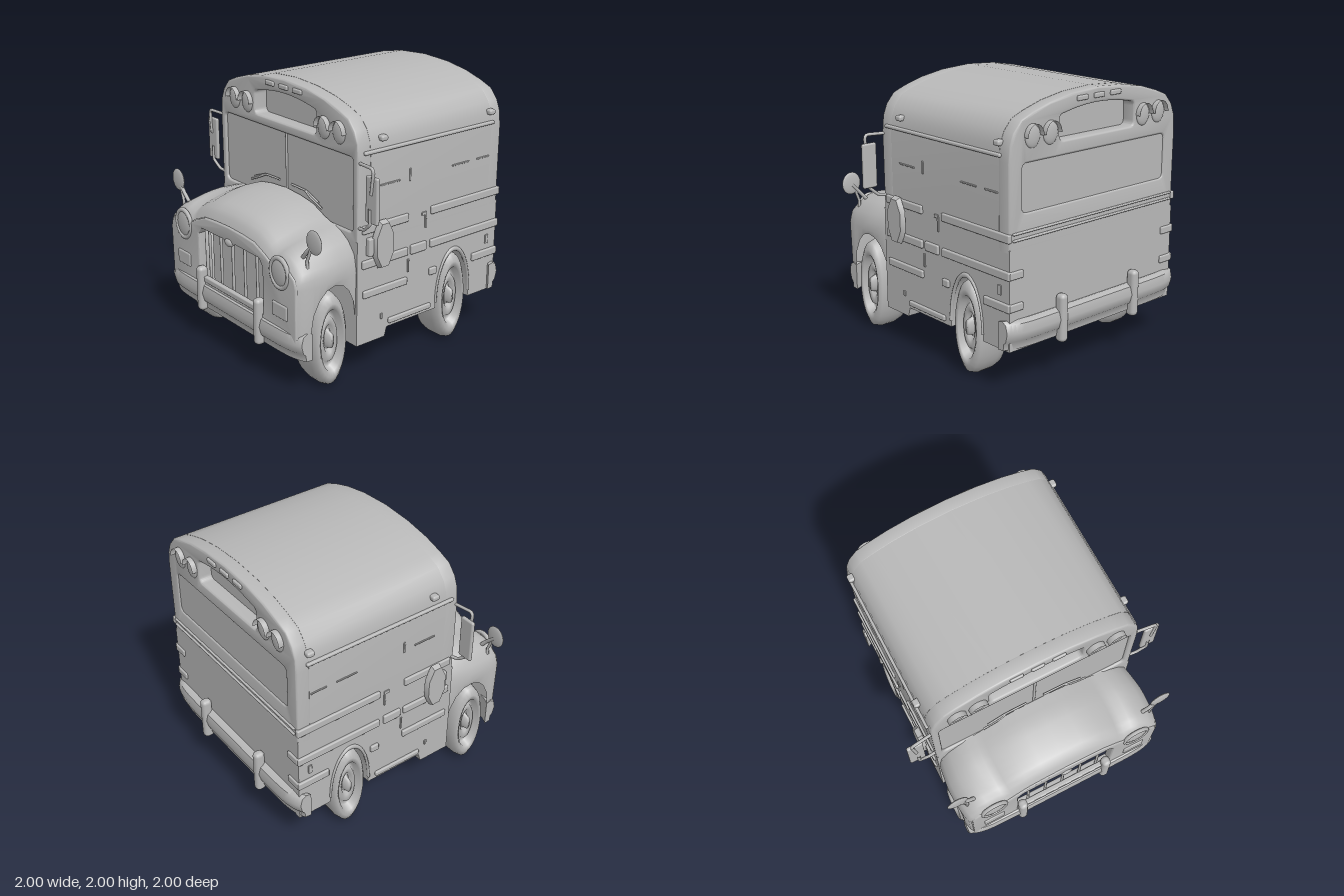
import * as THREE from 'three';
import { toCreasedNormals } from 'three/addons/utils/BufferGeometryUtils.js';
import { RoundedBoxGeometry } from 'three/addons/geometries/RoundedBoxGeometry.js';

const V = (x, y, z) => new THREE.Vector3(x, y, z);

export function createModel() {
  const bus = new THREE.Group();
  bus.name = 'shortBus';
  const grey = new THREE.MeshStandardMaterial({ color: 0xb8b8b8, side: THREE.DoubleSide });
  grey.name = 'plain grey';

  const add = (name, geo, x = 0, y = 0, z = 0) => {
    const m = new THREE.Mesh(geo, grey);
    m.name = name;
    m.position.set(x, y, z);
    bus.add(m);
    return m;
  };
  const box = (name, w, h, d, x, y, z, r = 0.01) =>
    add(name, new RoundedBoxGeometry(w, h, d, 2, Math.min(r, w / 2.1, h / 2.1, d / 2.1)), x, y, z);
  const tube = (name, pts, r) =>
    add(name, new THREE.TubeGeometry(new THREE.CatmullRomCurve3(pts, false, 'catmullrom', 0.1), 20, r, 8));
  const poly = (pts) => new THREE.Shape(pts.map(([x, y]) => new THREE.Vector2(x, y)));
  const mirror = (half) => [...half, ...half.slice().reverse().filter(p => p[0] !== 0).map(([x, y]) => [-x, y])];
  const extrude = (shape, depth, bevel = 0) => toCreasedNormals(new THREE.ExtrudeGeometry(shape, {
    depth: depth - 2 * bevel, curveSegments: 16, bevelEnabled: bevel > 0, bevelSize: bevel,
    bevelThickness: bevel, bevelOffset: -bevel, bevelSegments: 3 }).translate(0, 0, bevel), 0.6);
  // rounded rectangle outline, optionally with a raised middle top edge
  const roundRect = (x0, y0, x1, y1, r, rise = 0) => new THREE.Path()
    .moveTo(x0 + r, y0).lineTo(x1 - r, y0).quadraticCurveTo(x1, y0, x1, y0 + r).lineTo(x1, y1 - r)
    .quadraticCurveTo(x1, y1, x1 - r, y1).quadraticCurveTo((x0 + x1) / 2, y1 + rise * 2, x0 + r, y1)
    .quadraticCurveTo(x0, y1, x0, y1 - r).lineTo(x0, y0 + r).quadraticCurveTo(x0, y0, x0 + r, y0);
  // skin over rows of points
  const loft = (rows, closed, crease = 0.8) => {
    const n = rows[0].length, pos = rows.flat().flatMap(p => p.toArray()), idx = [];
    for (let i = 0; i < rows.length - 1; i++)
      for (let j = 0; j < (closed ? n : n - 1); j++) {
        const a = i * n + j, b = i * n + (j + 1) % n;
        idx.push(a, b, a + n, b, b + n, a + n);
      }
    if (closed) for (let j = 1; j < n - 1; j++) {
      const e = (rows.length - 1) * n;
      idx.push(0, j + 1, j, e, e + j, e + j + 1);
    }
    const g = new THREE.BufferGeometry();
    g.setAttribute('position', new THREE.Float32BufferAttribute(pos, 3));
    g.setIndex(idx);
    return toCreasedNormals(g, crease);
  };

  // Upper body with arched roof, and end frames with window and sign openings
  const section = mirror([[0.805, 1], [0.808, 1.6], [0.797, 1.71], [0.765, 1.79], [0.7, 1.865], [0.6, 1.905],
    [0.45, 1.95], [0.25, 1.985], [0, 2]]);
  add('upperBody', extrude(poly(section), 1.16), 0, 0, -0.82);
  const frame = poly(section);
  frame.holes.push(roundRect(-0.36, 1.68, 0.36, 1.86, 0.04, 0.035), roundRect(-0.75, 1.08, 0.75, 1.61, 0.04));
  add('frontFrame', extrude(frame, 0.12, 0.015), 0, 0, 0.33);
  const rear = poly(section);
  rear.holes.push(roundRect(-0.36, 1.68, 0.36, 1.86, 0.04, 0.035), roundRect(-0.69, 1.25, 0.69, 1.58, 0.04));
  add('rearFrame', extrude(rear, 0.11, 0.015), 0, 0, -0.92);
  box('windshield', 1.54, 0.58, 0.02, 0, 1.34, 0.42);
  box('windshieldPost', 0.02, 0.5, 0.02, 0, 1.38, 0.43);
  box('rearWindow', 1.42, 0.37, 0.02, 0, 1.415, -0.9);
  for (const y of [1.08, 1.125]) box('rearRail', 1.56, 0.016, 0.03, 0, y, -0.92);

  // Lower body with rear wheel arches, cut from the side
  const lower = [[0.45, 1.02], [0.45, 0.24], [0.19, 0.24], [0.17, 0.31], [-0.31, 0.31]];
  for (let i = 0; i <= 16; i++) {
    const a = Math.PI * i / 16;
    lower.push([-0.48 + 0.17 * Math.cos(a), 0.36 + 0.38 * Math.sin(a)]);
  }
  lower.push([-0.65, 0.31], [-0.92, 0.31], [-0.92, 1.02]);
  add('lowerBody', extrude(poly(lower), 1.61).rotateY(-Math.PI / 2), 0.805);
  box('rearArchFiller', 1.04, 0.4, 0.37, 0, 0.66, -0.48);

  // Hood and front fenders, skinned from cross-sections, with a valley beside each fender
  const half = [[0.8, 0.86], [0.785, 0.93], [0.72, 1.01], [0.64, 1.06], [0.57, 1.08], [0.51, 1.09],
    [0.45, 1.11], [0.32, 1.165], [0.17, 1.19], [0, 1.2]];
  const hoodTop = (x, y, s, z) =>
    0.8 + (y - 0.8) * s - 0.09 * Math.max(0, z - 0.44) * Math.exp(-(((Math.abs(x) - 0.5) / 0.06) ** 2));
  const hoodRow = (z, s, w) => {
    const t = (z - 0.65) / 0.21, base = Math.abs(t) < 1 ? 0.4 + 0.37 * Math.sqrt(1 - t * t) : 0.4;
    return mirror([[0.8, base], [0.81, Math.max(0.8, base)], ...half])
      .map(([x, y], i, all) => V(x * w, i < 2 || i > all.length - 3 ? y : hoodTop(x, y, s, z), z));
  };
  const hoodKeys = [[0.44, 1, 0.98], [0.47, 1, 0.99], [0.52, 1, 1], [0.58, 1, 1.01], [0.65, 0.97, 1.02], [0.72, 0.93, 1.02],
    [0.78, 0.89, 1.015], [0.83, 0.85, 1.01], [0.86, 0.82, 1.005], [0.9, 0.75, 0.995], [0.925, 0.67, 0.985], [0.945, 0.55, 0.965]];
  add('hood', loft(hoodKeys.map(k => hoodRow(...k)), false, 1));

  // Front face with the grille opening
  const face = poly(mirror([[0.77, 0.4], [0.775, 0.8], ...half.map(([x, y]) => [x * 0.96, hoodTop(x, y, 0.54, 0.94)])]));
  face.holes.push(new THREE.Path([[-0.4, 0.5], [0.4, 0.5], [0.4, 0.85], [0.36, 0.9], [0.08, 0.905], [0, 0.875],
    [-0.08, 0.905], [-0.36, 0.9], [-0.4, 0.85]].map(p => new THREE.Vector2(...p))));
  add('frontFace', extrude(face, 0.07, 0.012), 0, 0, 0.885);
  box('engineBay', 0.96, 0.66, 0.34, 0, 0.64, 0.61);
  for (let i = -2; i <= 2; i++)
    add('grilleBar', new THREE.CylinderGeometry(0.011, 0.011, 0.42, 8), i * 0.148, 0.7, 0.92);
  add('grilleCrest', new THREE.SphereGeometry(0.05, 16, 10).scale(1, 0.6, 0.4), 0, 0.9, 0.95);

  // Bumpers, curved back at the ends
  const bumperProfile = [[0, 0.27], [0.05, 0.275], [0.055, 0.32], [0.075, 0.34], [0.09, 0.4], [0.075, 0.46], [0.04, 0.48], [0, 0.47]];
  for (const [dir, w, z0, dy, bend] of [[1, 0.81, 0.895, 0, 0.05], [-1, 0.835, 0.895, 0.05, 0.055]]) {
    const rows = [];
    for (let i = -16; i <= 16; i++) {
      const t = Math.sin(i / 16 * Math.PI / 2);
      rows.push(bumperProfile.map(([z, y]) => V(w * t, y + dy, dir * (z0 + z - bend * t ** 10))));
    }
    add(dir > 0 ? 'frontBumper' : 'rearBumper', loft(rows, true));
    for (const s of [-1, 1]) box('bumperGuard', 0.07, 0.35, 0.08, s * 0.36, 0.43 + dy / 2, dir * 0.96, 0.03);
  }
  box('bumperBar', 0.7, 0.045, 0.04, 0, 0.51, 0.945);
  box('frontCrossmember', 1.04, 0.06, 0.1, 0, 0.24, 0.39);

  // Wheels are squashed front to back, like the whole body
  const tyre = [[0, -0.14], [0.29, -0.14], [0.335, -0.115], [0.355, -0.05], [0.355, 0.06], [0.335, 0.12], [0.28, 0.145],
    [0.235, 0.135], [0.215, 0.085], [0.18, 0.08], [0.16, 0.11], [0.11, 0.1], [0.09, 0.075], [0.07, 0.08], [0.055, 0.13], [0, 0.135]]
    .map(([r, h]) => new THREE.Vector2(r, h));
  for (const z of [0.67, -0.48]) {
    for (const s of [-1, 1]) {
      const wheel = add('wheel', new THREE.LatheGeometry(tyre, 32).rotateZ(-Math.PI / 2), s * 0.67, 0.357, z);
      wheel.scale.set(1, 1, 0.41);
      if (s < 0) wheel.rotation.y = Math.PI;
    }
    add('axle', new THREE.CylinderGeometry(0.06, 0.06, 1.1, 16).rotateZ(Math.PI / 2), 0, 0.36, z).scale.z = 0.6;
  }

  // Warning lamps under small hoods, and roof markers, at both ends
  for (const dir of [-1, 1]) {
    const end = dir > 0 ? 0.45 : -0.92;
    for (const x of [-0.61, -0.45, 0.45, 0.61]) {
      add('warningLamp', new THREE.SphereGeometry(0.065, 20, 12).scale(1, 1.2, 0.3), x, 1.75, end);
      add('lampHood', new THREE.CylinderGeometry(0.07, 0.07, 0.05, 20, 1, true, Math.PI / 2, Math.PI)
        .rotateX(Math.PI / 2).scale(1, 1.2, 1), x, 1.75, end + dir * 0.015);
    }
    for (const x of [-0.16, 0, 0.16]) box('roofMarker', 0.1, 0.035, 0.03, x, 1.945, end);
  }

  // Details mirrored on both sides
  const strips = [[1.1, 0.06, 0.41, -0.01], [1.1, 0.06, -0.23, -0.93], [0.845, 0.06, 0.41, -0.01], [0.845, 0.06, -0.23, -0.93],
    [0.845, 0.07, -0.04, -0.19], [0.62, 0.055, 0.4, -0.01], [0.625, 0.055, -0.23, -0.3], [0.62, 0.06, -0.67, -0.93],
    [1.64, 0.025, 0.4, -0.84], [0.355, 0.04, 0.16, -0.25]];
  const trims = [[1.39, 0.012, 0.25, 0.07], [1.39, 0.012, -0.43, -0.6], [1.39, 0.012, -0.68, -0.81], [1.41, 0.09, -0.015, -0.03],
    [0.73, 0.1, -0.015, -0.03], [1.09, 0.025, -0.145, -0.19], [1.035, 0.11, -0.175, -0.19], [0.73, 0.07, -0.81, -0.84],
    [0.41, 0.04, 0.235, 0.215]];
  for (const s of [-1, 1]) {
    for (const [y, h, a, b] of strips) box('sideRail', 0.035, h, a - b, s * 0.806, y, (a + b) / 2);
    for (const [y, h, a, b] of trims) box('sideTrim', 0.02, h, a - b, s * 0.804, y, (a + b) / 2, 0.004);
    for (const z of [0.23, -0.81]) box('sideMarker', 0.06, 0.04, 0.06, s * 0.8, 1.72, z, 0.015);
    add('rearArchLip', new THREE.TorusGeometry(0.38, 0.02, 8, 24, Math.PI).rotateY(Math.PI / 2).scale(0.8, 1, 0.45), s * 0.802, 0.36, -0.48);
    for (const y of [0.62, 0.845]) box('rearWrap', 0.12, 0.055, 0.03, s * 0.75, y, -0.92);

    // Folding stop panel
    const stop = new THREE.CylinderGeometry(0.17, 0.19, 0.04, 8).rotateY(Math.PI / 8).rotateZ(-s * Math.PI / 2).scale(1, 1, 0.48);
    add('stopPanel', toCreasedNormals(stop, 0.5), s * 0.85, 0.975, 0.25);
    box('stopHinge', 0.05, 0.13, 0.06, s * 0.815, 0.97, 0.34);

    // Headlamp with rim, and turn signal
    add('headlampRim', new THREE.TorusGeometry(0.095, 0.016, 8, 28).scale(1, 1.12, 1), s * 0.595, 0.87, 0.95);
    add('headlamp', new THREE.SphereGeometry(0.094, 24, 14).scale(1, 1.12, 0.25), s * 0.595, 0.87, 0.945);
    box('turnSignal', 0.17, 0.11, 0.03, s * 0.6, 0.595, 0.95, 0.015);

    // Long mirror on its bracket
    box('sideMirror', 0.12, 0.33, 0.03, s * 0.938, 1.36, 0.435, 0.014);
    tube('mirrorBracket', [V(s * 0.79, 1.58, 0.43), V(s * 0.94, 1.585, 0.45), V(s * 0.96, 1.56, 0.45), V(s * 0.94, 1.4, 0.45)], 0.012);
    tube('mirrorBracket', [V(s * 0.79, 1.12, 0.43), V(s * 0.86, 1.13, 0.44), V(s * 0.93, 1.19, 0.45), V(s * 0.93, 1.3, 0.45)], 0.012);

    // Round mirror on the fender
    add('roundMirror', new THREE.SphereGeometry(0.085, 20, 14).scale(0.95, 1, 0.18), s * 0.83, 1.13, 0.84);
    tube('roundMirrorArm', [V(s * 0.68, 0.96, 0.83), V(s * 0.75, 1.04, 0.84), V(s * 0.83, 1.12, 0.835)], 0.015);
    tube('roundMirrorPost', [V(s * 0.77, 0.85, 0.84), V(s * 0.76, 0.98, 0.845), V(s * 0.81, 1.1, 0.84)], 0.011);

    // Wiper
    tube('wiperArm', [V(s * 0.42, 1.16, 0.45), V(s * 0.3, 1.21, 0.455), V(s * 0.24, 1.24, 0.45)], 0.008);
    tube('wiperBlade', [V(s * 0.07, 1.245, 0.445), V(s * 0.24, 1.24, 0.445), V(s * 0.38, 1.19, 0.445)], 0.008);
  }
  return bus;
}
